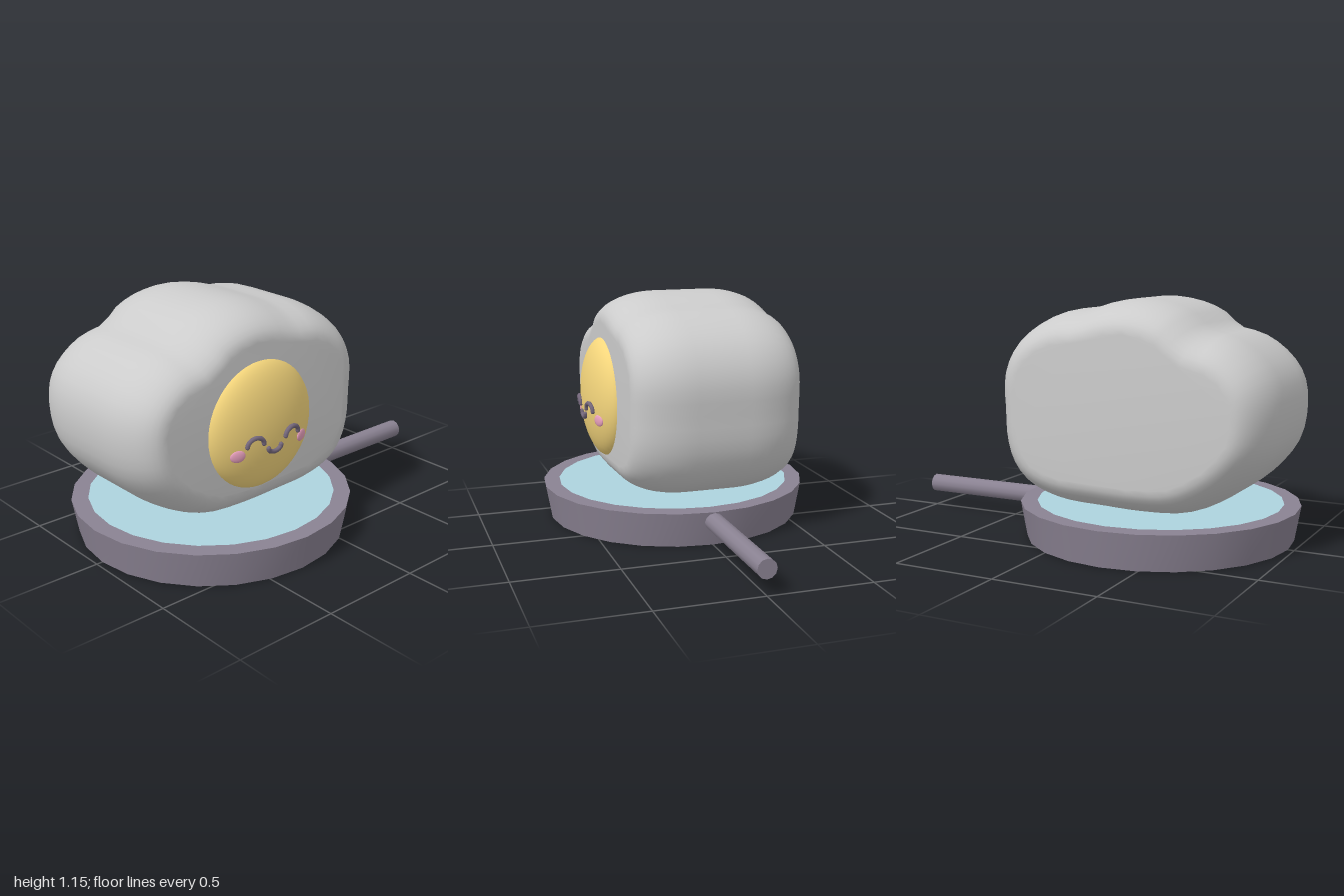
import * as THREE from 'three';
import { toCreasedNormals } from 'three/addons/utils/BufferGeometryUtils.js';

const CX = -0.325; // pan centre
const YOLK = { x: -0.335, y: 0.62, z: 0.35, r: 0.305, depth: 0.117 };

const material = (color) => new THREE.MeshStandardMaterial({ color });
const grey = material(0xcccccc);
const metal = material(0x8a8292);
const water = material(0xadd3de);
const yellow = material(0xf5d67c);
const dark = material(0x75687c);
const pink = material(0xe8a0bd);

export function createModel() {
  const group = new THREE.Group();
  const add = (name, geometry, mat, x = 0, y = 0, z = 0) => {
    const mesh = new THREE.Mesh(geometry, mat);
    mesh.name = name;
    mesh.position.set(x, y, z);
    group.add(mesh);
    return mesh;
  };

  // Pan: tapered disc, coloured cooking surface and round handle
  const panGeometry = new THREE.CylinderGeometry(0.675, 0.645, 0.17, 24);
  add('pan', toCreasedNormals(panGeometry, 0.6), metal, CX, 0.085, 0);
  const surface = add('cookingSurface', new THREE.CircleGeometry(0.595, 24), water, CX, 0.173, 0);
  surface.rotation.x = -Math.PI / 2;
  const handle = add('handle', new THREE.CylinderGeometry(0.046, 0.046, 0.7, 12), metal, 0.65, 0.12, 0);
  handle.rotation.z = -Math.PI / 2;

  // Egg white: lumpy outline, extruded with a deep rounded edge
  const outline = [
    [-1, 0.655], [-0.985, 0.775], [-0.945, 0.855], [-0.865, 0.935], [-0.77, 0.99],
    [-0.655, 1.02], [-0.58, 1.085], [-0.475, 1.13], [-0.335, 1.15], [-0.205, 1.135],
    [-0.08, 1.1], [0.025, 1.09], [0.145, 1.045], [0.26, 0.96], [0.325, 0.855],
    [0.347, 0.755], [0.342, 0.625], [0.335, 0.49], [0.3, 0.37], [0.23, 0.275],
    [0.14, 0.22], [0.01, 0.185], [-0.18, 0.175], [-0.39, 0.17], [-0.58, 0.185],
    [-0.715, 0.24], [-0.865, 0.35], [-0.97, 0.49],
  ].map(([x, y]) => new THREE.Vector3(x, y, 0));
  const curve = new THREE.CatmullRomCurve3(outline, true);
  const points = curve.getSpacedPoints(64).slice(0, -1).map((p) => new THREE.Vector2(p.x, p.y));
  const whiteGeometry = new THREE.ExtrudeGeometry(new THREE.Shape(points), {
    depth: 0.26,
    bevelThickness: 0.295,
    bevelSize: 0.145,
    bevelOffset: -0.145,
    bevelSegments: 10,
  });
  add('eggWhite', toCreasedNormals(whiteGeometry, 0.9), grey, 0, 0, -0.185);

  // Yolk: flattened ball set into the front
  const yolk = add('yolk', new THREE.SphereGeometry(YOLK.r, 40, 28), yellow, YOLK.x, YOLK.y, YOLK.z);
  yolk.scale.z = YOLK.depth / YOLK.r;

  // Depth of the yolk surface at an offset from its centre
  const yolkZ = (dx, dy) =>
    YOLK.z + YOLK.depth * Math.sqrt(1 - (dx * dx + dy * dy) / YOLK.r ** 2);

  // Bent tube lying on the yolk; up = 1 arches, up = -1 smiles
  const arc = (name, cx, cy, rx, ry, up) => {
    const path = [];
    for (let i = 0; i <= 10; i++) {
      const a = (Math.PI * i) / 10;
      const dx = cx + rx * Math.cos(a);
      const dy = cy + up * ry * Math.sin(a);
      path.push(new THREE.Vector3(dx, dy, yolkZ(dx, dy) + 0.006));
    }
    const tube = new THREE.TubeGeometry(new THREE.CatmullRomCurve3(path), 20, 0.011, 8);
    add(name, tube, dark, YOLK.x, YOLK.y, 0);
    for (const end of [path[0], path[10]]) {
      add(name + 'End', new THREE.SphereGeometry(0.011, 8, 6), dark, YOLK.x + end.x, YOLK.y + end.y, end.z);
    }
  };

  // Face: closed eyes, cheeks and mouth
  for (const [side, s] of [['left', 1], ['right', -1]]) {
    arc(side + 'Eye', s * 0.108, -0.045, 0.043, 0.035, 1);
    const cheek = add(side + 'Cheek', new THREE.SphereGeometry(1, 16, 12), pink,
      YOLK.x + s * 0.19, YOLK.y - 0.083, yolkZ(0.19, 0.083));
    cheek.scale.set(0.037, 0.029, 0.01);
    cheek.rotation.y = s * 0.33;
  }
  arc('mouth', 0, -0.077, 0.037, 0.023, -1);

  return group;
}
